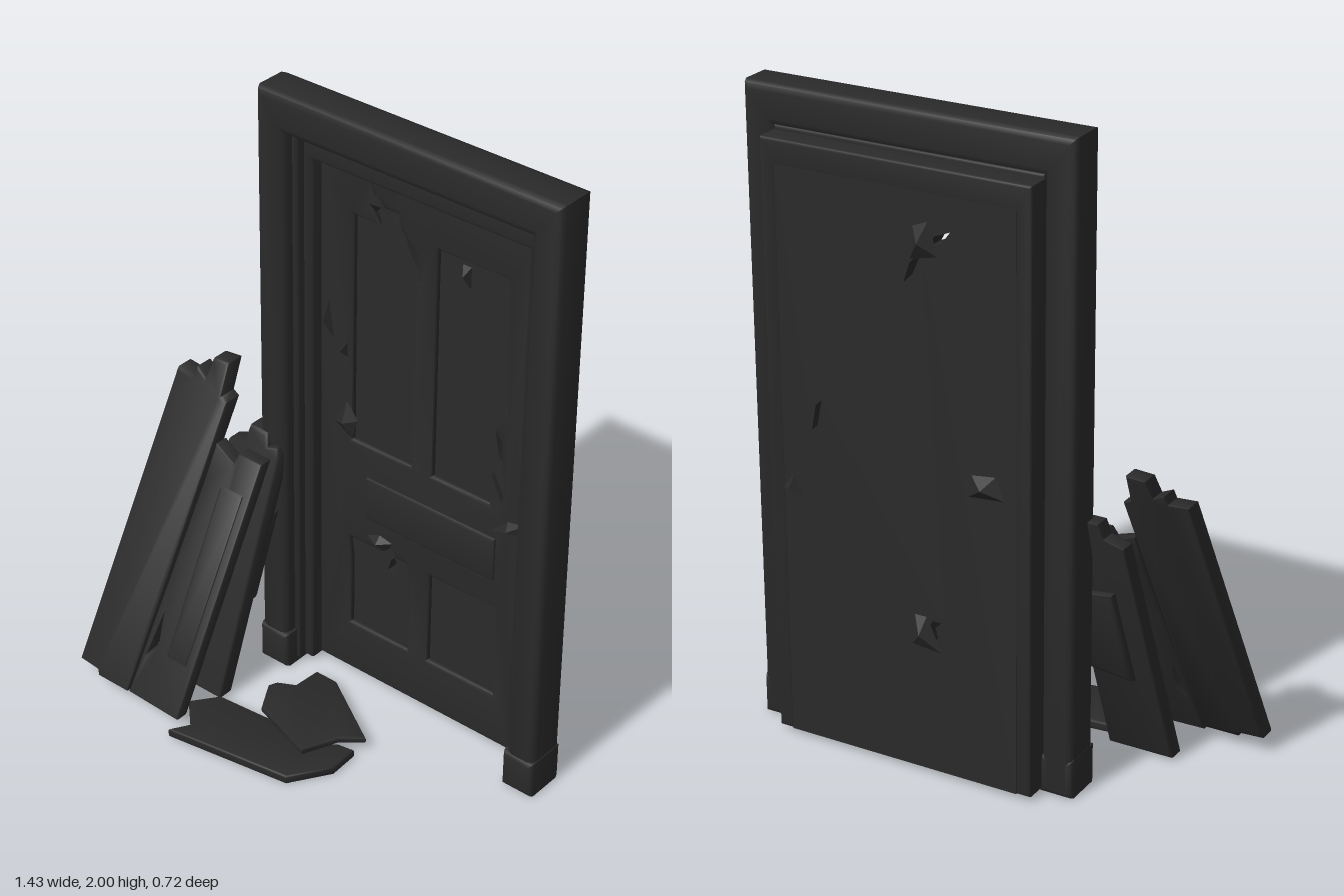
import * as THREE from 'three';
import { toCreasedNormals } from 'three/addons/utils/BufferGeometryUtils.js';

const charcoal = new THREE.MeshStandardMaterial({ color: 0x2a2a2a });
charcoal.name = 'charcoal wood';

// Flat plate from an outline in x/y, between two depths, with optional holes and a rounded bevel
function plateGeometry(points, z0, z1, bevel = 0, holes = []) {
  const toVec = (list) => list.map(([x, y]) => new THREE.Vector2(x, y));
  const shape = new THREE.Shape(toVec(points));
  holes.forEach((h) => shape.holes.push(new THREE.Path(toVec(h))));
  const geo = new THREE.ExtrudeGeometry(shape, {
    depth: z1 - z0 - 2 * bevel,
    bevelEnabled: bevel > 0,
    bevelThickness: bevel,
    bevelSize: bevel,
    bevelOffset: -bevel,
    bevelSegments: 2,
  });
  return toCreasedNormals(geo.translate(0, 0, z0 + bevel), 0.9);
}

function part(parent, name, geo) {
  const mesh = new THREE.Mesh(geo, charcoal);
  mesh.name = name;
  parent.add(mesh);
  return mesh;
}

const rect = (x0, y0, x1, y1) => [[x0, y0], [x1, y0], [x1, y1], [x0, y1]];

// Upside-down U for casing and jambs
const arch = (x0, x1, top, w, h, bottom) => [
  [x0, bottom], [x0 + w, bottom], [x0 + w, top - h], [x1 - w, top - h],
  [x1 - w, bottom], [x1, bottom], [x1, top], [x0, top],
];

// Slide each vertex back in proportion to its height, so a plate leans
function lean(geo, z0, slope) {
  const p = geo.attributes.position;
  for (let i = 0; i < p.count; i++) p.setZ(i, p.getZ(i) + z0 - slope * p.getY(i));
  return toCreasedNormals(geo, 0.9);
}

// Lay an x/z outline on the ground: height y0 to y1, tilted along z
function slab(points, y0, y1, tilt = 0) {
  const geo = plateGeometry(points.map(([x, z]) => [x, -z]), y0, y1, 0.006);
  geo.rotateX(-Math.PI / 2);
  const p = geo.attributes.position;
  for (let i = 0; i < p.count; i++) p.setY(i, p.getY(i) + tilt * p.getZ(i));
  return toCreasedNormals(geo, 0.9);
}

// Pointed splinter: an outline rising from depth z0 to one tip at depth z1
function splinter(points, z0, z1) {
  const n = points.length;
  const cx = points.reduce((s, p) => s + p[0], 0) / n;
  const cy = points.reduce((s, p) => s + p[1], 0) / n;
  const v = [];
  points.forEach(([x, y], i) => {
    const [x2, y2] = points[(i + 1) % n];
    const edge = [[x, y, z0], [x2, y2, z0]];
    if (z1 < z0) edge.reverse();
    v.push(...edge[0], ...edge[1], cx, cy, z1);
  });
  const geo = new THREE.BufferGeometry();
  geo.setAttribute('position', new THREE.Float32BufferAttribute(v, 3));
  geo.computeVertexNormals();
  return geo;
}

function createFrame() {
  const g = new THREE.Group();
  g.name = 'doorFrame';
  part(g, 'casing', plateGeometry(arch(-0.347, 0.71, 2, 0.1, 0.12, 0.01), -0.265, -0.13, 0.022));
  part(g, 'innerJamb', plateGeometry(arch(-0.25, 0.612, 1.872, 0.05, 0.08, 0.02), -0.332, -0.2, 0.008));
  part(g, 'stopMoulding', plateGeometry(arch(-0.25, 0.612, 1.885, 0.022, 0.028, 0.02), -0.26, -0.17, 0.008));
  // Plinth blocks at the feet
  for (const [x0, x1] of [[-0.348, -0.238], [0.603, 0.713]]) {
    part(g, 'plinth', plateGeometry(rect(x0, 0.005, x1, 0.13), -0.264, -0.122, 0.015));
  }
  return g;
}

function createDoor() {
  const g = new THREE.Group();
  g.name = 'door';
  // Holes broken right through the door
  const breaks = [
    [[0.0, 1.7], [0.03, 1.66], [0.07, 1.645], [0.05, 1.68]],
    [[0.09, 1.63], [0.12, 1.56], [0.15, 1.53], [0.13, 1.59]],
    [[0.43, 1.12], [0.445, 1.04], [0.465, 1.02], [0.45, 1.1]],
    [[0.03, 0.51], [0.06, 0.49], [0.05, 0.45], [0.08, 0.43], [0.085, 0.48], [0.07, 0.51]],
  ];
  part(g, 'doorCore', plateGeometry(rect(-0.205, 0.02, 0.565, 1.8), -0.332, -0.262, 0, breaks));

  // Stiles and rails, with panel openings torn at the edges
  const openings = [
    [[-0.08, 0.88], [0.14, 0.88], [0.14, 1.5], [0.16, 1.52], [0.14, 1.6], [0.09, 1.65],
      [0.08, 1.7], [0.03, 1.7], [-0.02, 1.75], [-0.01, 1.68], [0.01, 1.64], [-0.08, 1.64]],
    [[0.22, 0.88], [0.43, 0.88], [0.43, 0.98], [0.47, 0.9], [0.48, 0.94], [0.46, 1.12], [0.43, 1.14],
      [0.47, 1.2], [0.47, 1.64], [0.22, 1.64]],
    [[-0.08, 0.2], [0.14, 0.2], [0.14, 0.52], [0.09, 0.52], [0.07, 0.55], [0.04, 0.52],
      [-0.09, 0.52], [-0.08, 0.44]],
    rect(0.22, 0.2, 0.47, 0.52),
  ];
  part(g, 'stilesAndRails', plateGeometry(rect(-0.205, 0.02, 0.565, 1.8), -0.266, -0.242, 0.01, openings));
  part(g, 'lockRailMoulding', plateGeometry(rect(-0.02, 0.62, 0.46, 0.77), -0.252, -0.234, 0.008));

  // Splintered wood bent out of the front
  const shards = [
    [[-0.15, 0.92], [-0.08, 0.88], [-0.06, 0.95], [-0.1, 1.01]],
    [[-0.19, 1.26], [-0.15, 1.2], [-0.17, 1.33]],
    [[-0.12, 1.19], [-0.1, 1.16], [-0.1, 1.21]],
    [[0.44, 0.79], [0.55, 0.82], [0.56, 0.86], [0.5, 0.85]],
    [[-0.03, 1.77], [0.0, 1.68], [0.02, 1.7]],
    [[-0.02, 0.56], [0.05, 0.53], [0.08, 0.57], [0.03, 0.58]],
    [[0.31, 1.63], [0.34, 1.56], [0.34, 1.63]],
  ];
  for (const s of shards) part(g, 'frontSplinter', splinter(s, -0.243, -0.215));

  // Splintered wood pushed out of the back
  const chips = [
    [[0.04, 1.62], [0.13, 1.6], [0.12, 1.7], [0.07, 1.72]],
    [[-0.17, 0.94], [-0.05, 0.93], [-0.06, 1.0], [-0.14, 1.01]],
    [[0.5, 0.8], [0.57, 0.82], [0.53, 0.87]],
    [[0.04, 0.41], [0.14, 0.42], [0.13, 0.52], [0.09, 0.52]],
  ];
  for (const c of chips) part(g, 'backSplinter', splinter(c, -0.331, -0.362));
  return g;
}

function createLeaningBoards() {
  const g = new THREE.Group();
  g.name = 'leaningBoards';
  // Wide outer board with a snapped top
  part(g, 'outerBoard', lean(plateGeometry([
    [-0.715, 0.06], [-0.64, 0.055], [-0.63, 0.04], [-0.51, 0.04], [-0.48, 0.4], [-0.44, 0.93],
    [-0.465, 0.94], [-0.47, 1.035], [-0.53, 1.03], [-0.54, 0.97], [-0.58, 0.99], [-0.585, 0.96], [-0.65, 0.965],
  ], -0.065, 0, 0.008), 0.338, 0.455));
  // Broken panelled board beside it, with a torn hole near the foot
  part(g, 'panelledBoard', lean(plateGeometry([
    [-0.515, 0.03], [-0.31, 0.025], [-0.27, 0.8], [-0.36, 0.8], [-0.37, 0.77], [-0.45, 0.8], [-0.455, 0.7], [-0.48, 0.4],
  ], -0.06, -0.012, 0.006, [[[-0.485, 0.16], [-0.455, 0.2], [-0.465, 0.29]]]), 0.332, 0.46));
  part(g, 'boardPanel', lean(plateGeometry([
    [-0.41, 0.18], [-0.33, 0.18], [-0.3, 0.7], [-0.39, 0.7],
  ], -0.03, -0.006, 0.008), 0.332, 0.46));
  // Steeper board behind, propped against the frame
  part(g, 'rearBoard', lean(plateGeometry([
    [-0.5, 0.015], [-0.29, 0.015], [-0.255, 0.8], [-0.265, 0.83], [-0.3, 0.82],
    [-0.31, 0.86], [-0.38, 0.86], [-0.39, 0.81], [-0.45, 0.79],
  ], -0.06, 0, 0.008), 0.142, 0.31));
  part(g, 'rearBoardRib', lean(plateGeometry([
    [-0.42, 0.3], [-0.28, 0.32], [-0.265, 0.6], [-0.4, 0.62],
  ], -0.085, -0.04, 0.015), 0.142, 0.31));
  return g;
}

function createFallenBoards() {
  const g = new THREE.Group();
  g.name = 'fallenBoards';
  part(g, 'frontFragment', slab([
    [-0.295, 0.36], [0.12, 0.295], [0.2, 0.17], [0.195, 0.07], [0.14, 0.08],
    [0.06, 0.16], [-0.06, 0.12], [-0.28, 0.14], [-0.34, 0.22], [-0.26, 0.3],
  ], 0.004, 0.034));
  part(g, 'rearFragment', slab([
    [-0.13, -0.14], [-0.05, -0.14], [0.2, 0.02], [0.14, 0.08], [0.1, 0.2],
    [-0.13, 0.12], [-0.19, 0.02], [-0.18, -0.01], [-0.13, -0.04],
  ], 0.028, 0.05, 0.08));
  return g;
}

export function createModel() {
  const model = new THREE.Group();
  model.name = 'brokenDoor';
  model.add(createFrame(), createDoor(), createLeaningBoards(), createFallenBoards());
  return model;
}
